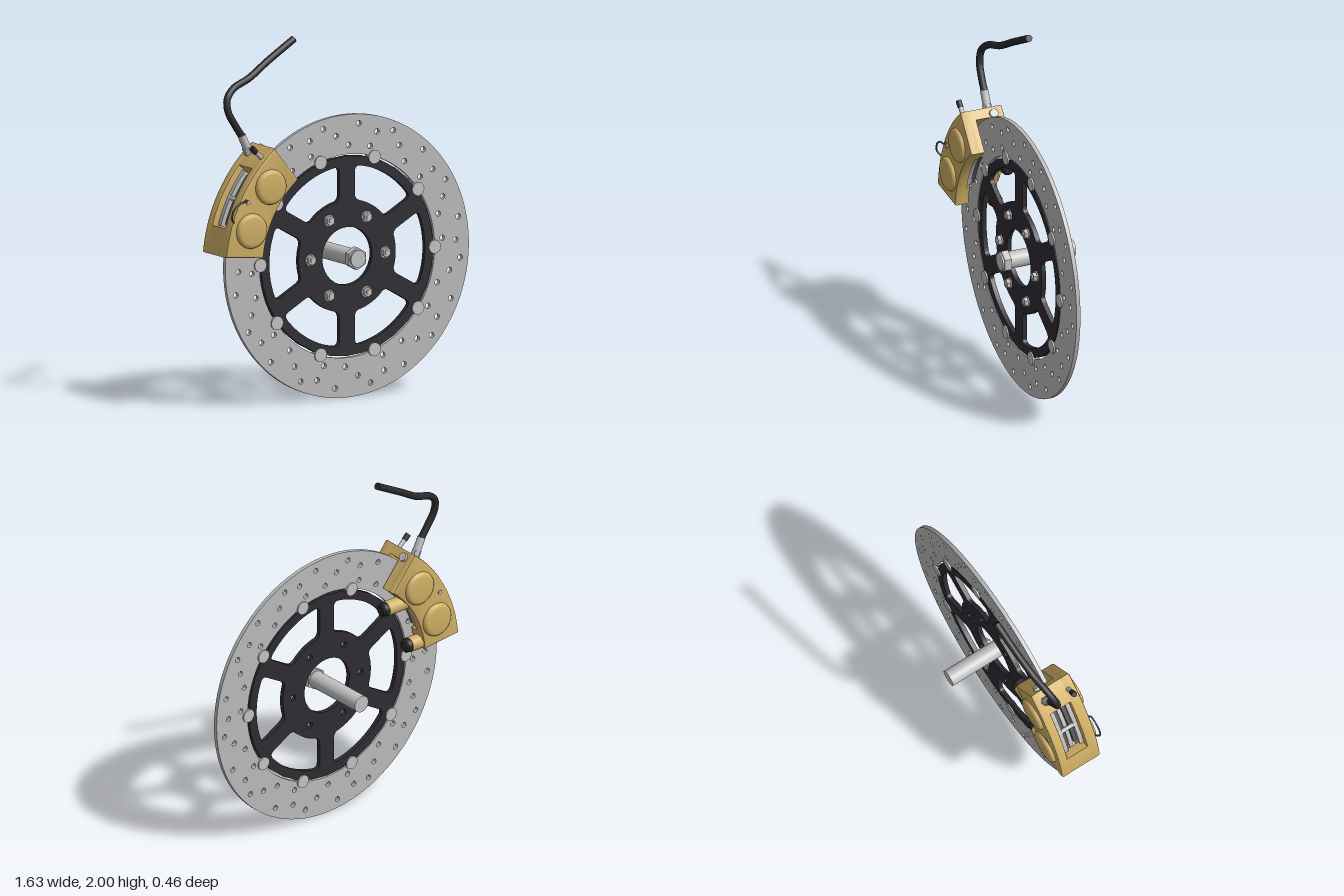
import * as THREE from 'three';
import { toCreasedNormals } from 'three/addons/utils/BufferGeometryUtils.js';

const mat = (name, color) => Object.assign(new THREE.MeshStandardMaterial({ color }), { name });
const rad = THREE.MathUtils.degToRad;
const V = (x, y, z) => new THREE.Vector3(x, y, z);
// polar point around the axle, angle in degrees
const P = (r, deg) => new THREE.Vector2(r * Math.cos(rad(deg)), r * Math.sin(rad(deg)));

export function createModel() {
  const steel = mat('brushed steel', 0xbababa);
  const silver = mat('bright metal', 0xc2c2c2);
  const dark = mat('dark carrier', 0x2e2c32);
  const gold = mat('gold caliper', 0xcfae65);
  const rubber = mat('black rubber', 0x29292c);
  const friction = mat('pad lining', 0x55555a);

  const root = new THREE.Group();
  root.name = 'discBrake';
  const hub = new THREE.Group(); // everything measured from the axle centre
  hub.name = 'brakeAssembly';
  hub.position.set(0.03, 0.785, 0);
  root.add(hub);

  const add = (parent, name, geo, material, x = 0, y = 0, z = 0) => {
    const m = new THREE.Mesh(geo, material);
    m.name = name;
    m.position.set(x, y, z);
    parent.add(m);
    return m;
  };
  const extrude = (shape, z0, z1, bevel = 0, curveSegments = 48) => {
    const g = new THREE.ExtrudeGeometry(shape, {
      depth: z1 - z0 - 2 * bevel, curveSegments, bevelEnabled: bevel > 0,
      bevelSize: bevel, bevelThickness: bevel, bevelOffset: -bevel, bevelSegments: 2,
    });
    g.translate(0, 0, z0 + bevel);
    return toCreasedNormals(g, 0.5);
  };
  const hole = (c, r, n = 16) => new THREE.Path(Array.from({ length: n }, (_, i) =>
    P(r, -i * 360 / n).add(c)));
  // rod between two points
  const rod = (parent, name, a, b, r, material, sides = 20, r2 = r) => {
    const d = b.clone().sub(a);
    const m = add(parent, name, new THREE.CylinderGeometry(r2, r, d.length(), sides), material);
    m.position.copy(a).addScaledVector(d, 0.5);
    m.quaternion.setFromUnitVectors(V(0, 1, 0), d.normalize());
    if (sides === 6) m.geometry = toCreasedNormals(m.geometry, 0.5);
    return m;
  };
  const sector = (r0, r1, a0, a1) => {
    const s = new THREE.Shape();
    s.absarc(0, 0, r1, rad(a0), rad(a1), false);
    s.absarc(0, 0, r0, rad(a1), rad(a0), true);
    s.closePath();
    return s;
  };

  // drilled rotor
  const rotor = new THREE.Shape();
  rotor.absarc(0, 0, 0.783, 0, Math.PI * 2, false);
  rotor.holes.push(hole(P(0, 0), 0.563, 96));
  const drill = [[0.731, 12], [0.731, 30], [0.672, 24], [0.698, 2], [0.613, 4], [0.613, 17]];
  for (let i = 0; i < 10; i++)
    for (const [r, a] of drill) rotor.holes.push(hole(P(r, a + 36 * i), 0.0155, 14));
  add(hub, 'rotor', extrude(rotor, 0.066, 0.089), steel);

  // spoked carrier
  const carrier = new THREE.Shape();
  carrier.absarc(0, 0, 0.554, 0, Math.PI * 2, false);
  carrier.holes.push(hole(P(0, 0), 0.16, 48));
  for (let i = 0; i < 6; i++) {
    const c = 60 * i, w = new THREE.Path();
    const q = (r1, a1, r2, a2) => {
      const k = P(r1, c + a1), e = P(r2, c + a2);
      w.quadraticCurveTo(k.x, k.y, e.x, e.y);
    };
    const line = (r, a) => { const e = P(r, c + a); w.lineTo(e.x, e.y); };
    w.absarc(0, 0, 0.312, rad(c - 15), rad(c + 15), false);
    q(0.312, 20.7, 0.345, 21.7);
    line(0.465, 23.8);
    q(0.5, 24.3, 0.5, 20.5);
    w.absarc(0, 0, 0.5, rad(c + 20.5), rad(c - 20.5), true);
    q(0.5, -24.3, 0.465, -23.8);
    line(0.345, -21.7);
    q(0.312, -20.7, 0.312, -15);
    carrier.holes.push(w, hole(P(0.24, c), 0.018));
  }
  add(hub, 'carrier', extrude(carrier, 0.064, 0.09, 0, 16), dark);

  // floating buttons and carrier bolts
  for (let i = 0; i < 10; i++) {
    const p = P(0.56, 36 * i);
    rod(hub, 'floatingButton', V(p.x, p.y, 0.057), V(p.x, p.y, 0.098), 0.038, silver, 24);
  }
  for (let i = 0; i < 6; i++) {
    const p = P(0.24, 60 * i);
    rod(hub, 'boltWasher', V(p.x, p.y, 0.088), V(p.x, p.y, 0.096), 0.031, silver);
    rod(hub, 'boltHead', V(p.x, p.y, 0.096), V(p.x, p.y, 0.115), 0.027, silver, 6);
    rod(hub, 'boltTip', V(p.x, p.y, 0.115), V(p.x, p.y, 0.121), 0.014, silver, 14);
  }

  // axle
  rod(hub, 'axle', V(0, 0, -0.23), V(0, 0, 0.205), 0.048, silver, 32);
  rod(hub, 'axleNut', V(0, 0, 0.155), V(0, 0, 0.195), 0.063, silver, 6);

  // caliper halves, end blocks and bridges
  const caliper = new THREE.Group();
  caliper.name = 'caliper';
  hub.add(caliper);
  const A0 = 129, A1 = 174.4;
  const block = (name, r0, r1, a0, a1, z0, z1, m, bevel = 0) =>
    add(caliper, name, extrude(sector(r0, r1, a0, a1), z0, z1, bevel, 20), m);
  block('frontHalf', 0.61, 0.852, A0, A1, 0.138, 0.205, gold, 0.012);
  block('backHalf', 0.61, 0.852, A0, A1, -0.045, 0.012, gold, 0.012);
  for (const [a, b] of [[A0, 139.5], [164, A1]]) {
    block('frontEndBlock', 0.61, 0.851, a, b, 0.125, 0.19, gold);
    block('backEndBlock', 0.61, 0.851, a, b, -0.03, 0.048, gold);
    block('bridge', 0.795, 0.851, a, b, 0.04, 0.13, gold);
  }

  // brake pads
  block('frontBackingPlate', 0.62, 0.815, 140, 163.5, 0.115, 0.14, steel);
  block('backBackingPlate', 0.62, 0.815, 140, 163.5, 0.01, 0.04, steel);
  block('frontLining', 0.625, 0.79, 141, 162.5, 0.092, 0.115, friction);
  block('backLining', 0.625, 0.79, 141, 162.5, 0.04, 0.063, friction);
  const pin = P(0.805, 152);
  rod(caliper, 'padPin', V(pin.x, pin.y, -0.052), V(pin.x, pin.y, 0.212), 0.012, silver, 14);

  // piston caps on both sides
  const cap = [[0.097, 0], [0.097, 0.03], [0.093, 0.041], [0.084, 0.048], [0.072, 0.05], [0, 0.05]];
  const capGeo = toCreasedNormals(
    new THREE.LatheGeometry(cap.map(([x, y]) => new THREE.Vector2(x, y)), 40), 0.9);
  for (const a of [141.4, 162.4]) {
    const p = P(0.722, a);
    add(caliper, 'frontPistonCap', capGeo, gold, p.x, p.y, 0.177).rotation.x = Math.PI / 2;
    add(caliper, 'backPistonCap', capGeo, gold, p.x, p.y, -0.018).rotation.x = -Math.PI / 2;
  }

  // slide lugs with rubber boots, behind the rotor
  for (const [x0, x1, y] of [[-0.54, -0.335, 1.155], [-0.66, -0.5, 0.88]]) {
    rod(root, 'slideLug', V(x0, y, 0.003), V(x1, y, 0.003), 0.042, gold, 24);
    rod(root, 'slideBoot', V(x1, y, 0.003), V(x1 + 0.026, y, 0.003), 0.038, rubber, 24);
    rod(root, 'slideBootTip', V(x1 + 0.026, y, 0.003), V(x1 + 0.036, y, 0.003), 0.038, rubber, 24, 0.028);
  }

  // end plug and bleed valve
  const e0 = P(0.812, 130), e1 = P(0.812, 127.8);
  rod(caliper, 'endPlug', V(e0.x, e0.y, 0.018), V(e1.x, e1.y, 0.018), 0.024, silver);
  rod(root, 'bleedValve', V(-0.555, 1.385, 0.16), V(-0.605, 1.432, 0.16), 0.013, silver, 14);
  rod(root, 'bleedCap', V(-0.6, 1.427, 0.16), V(-0.629, 1.454, 0.16), 0.016, rubber, 14);

  // hose and its fitting
  rod(root, 'hoseNut', V(-0.545, 1.375, 0.018), V(-0.572, 1.432, 0.018), 0.027, silver, 6);
  rod(root, 'hoseFerrule', V(-0.568, 1.425, 0.018), V(-0.605, 1.502, 0.018), 0.023, silver);
  const hosePath = new THREE.CatmullRomCurve3([
    V(-0.595, 1.485, 0.018), V(-0.645, 1.56, 0.016), V(-0.685, 1.635, 0.01), V(-0.685, 1.705, 0),
    V(-0.635, 1.757, -0.016), V(-0.52, 1.802, -0.038), V(-0.39, 1.88, -0.058), V(-0.212, 1.982, -0.076)]);
  add(root, 'hose', new THREE.TubeGeometry(hosePath, 70, 0.02, 14), rubber);
  const t = hosePath.getTangent(1), end = hosePath.getPoint(1);
  rod(root, 'hoseEnd', end.clone().addScaledVector(t, -0.01), end.clone().addScaledVector(t, 0.002), 0.02, rubber, 14);

  // pad pin retaining clip
  const clip = new THREE.CatmullRomCurve3([
    V(-0.692, 1.172, 0.2), V(-0.695, 1.172, 0.218), V(-0.735, 1.167, 0.222), V(-0.782, 1.13, 0.222),
    V(-0.79, 1.085, 0.218), V(-0.767, 1.06, 0.2)]);
  add(root, 'retainingClip', new THREE.TubeGeometry(clip, 30, 0.005, 8), friction);
  rod(root, 'clipPin', V(-0.692, 1.172, 0.2), V(-0.692, 1.172, 0.212), 0.01, friction, 12);

  return root;
}
